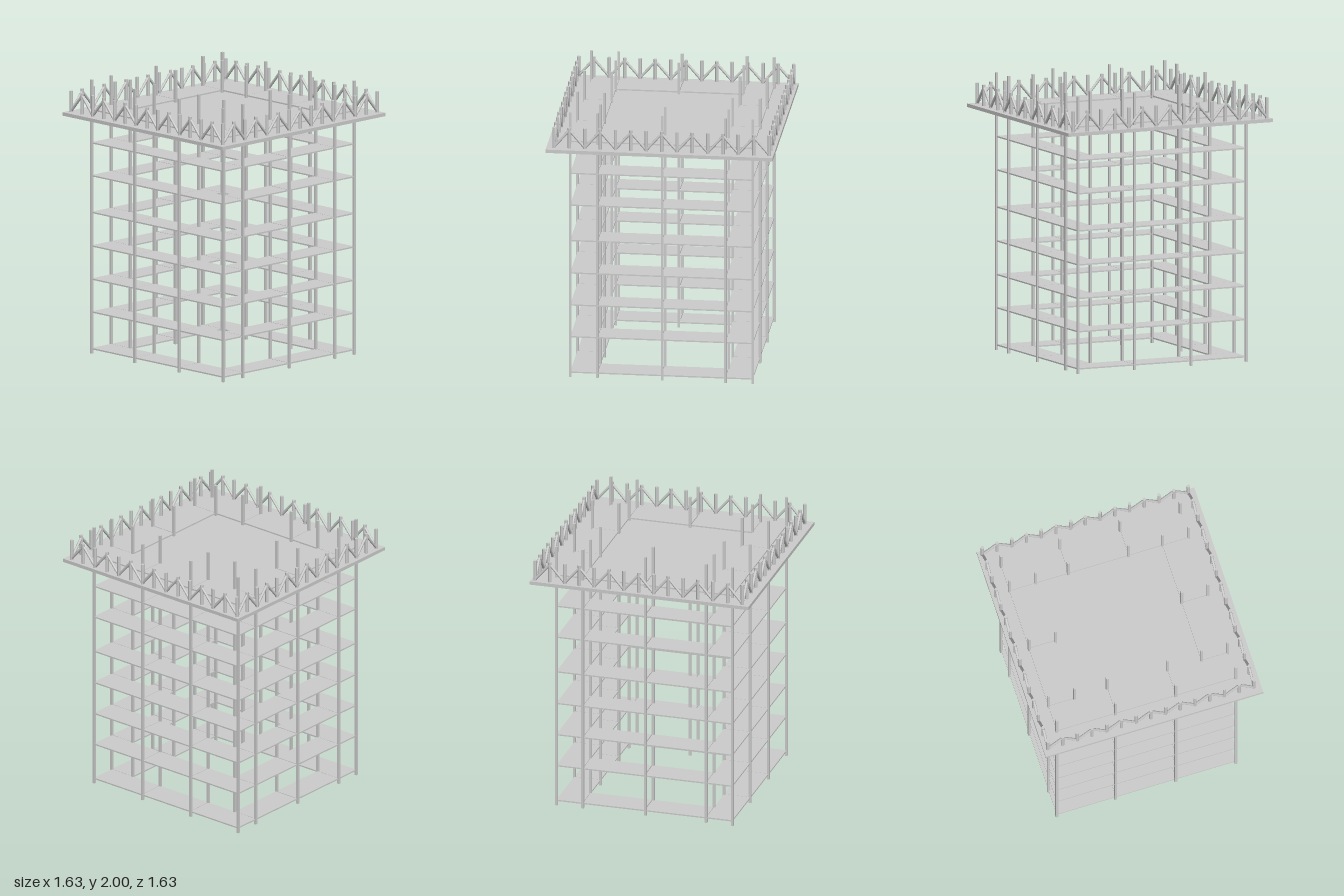
import * as THREE from 'three';

export function createModel() {
  const model = new THREE.Group();
  const mat = new THREE.MeshStandardMaterial({ color: 0xcccccc });

  const group = (name, parent = model) => {
    const g = new THREE.Group();
    g.name = name;
    parent.add(g);
    return g;
  };
  // box given by its limits on each axis
  const box = (parent, name, x0, x1, y0, y1, z0, z1) => {
    const m = new THREE.Mesh(new THREE.BoxGeometry(x1 - x0, y1 - y0, z1 - z0), mat);
    m.position.set((x0 + x1) / 2, (y0 + y1) / 2, (z0 + z1) / 2);
    m.name = name;
    parent.add(m);
  };
  // round pole between two points
  const pole = (parent, name, a, b, r) => {
    const dir = b.clone().sub(a);
    const m = new THREE.Mesh(new THREE.CylinderGeometry(r, r, dir.length(), 10), mat);
    m.position.copy(a).add(b).multiplyScalar(0.5);
    m.quaternion.setFromUnitVectors(new THREE.Vector3(0, 1, 0), dir.normalize());
    m.name = name;
    parent.add(m);
  };

  const OUT = 0.655, IN = 0.46;            // outer and inner column lines in x
  const BACK = -0.685, BACK_IN = -0.49;    // back strip in z
  const FRONT = 0.655, FRONT_IN = 0.46;    // front strip in z
  const MID = [-0.245, 0.205];             // intermediate side columns in z

  // Full-height square columns
  const columns = group('columns');
  const spots = [[-0.007, BACK], [-0.007, BACK_IN], [0.005, FRONT], [0.005, FRONT_IN]];
  for (const s of [-1, 1]) {
    for (const z of [BACK, ...MID, FRONT]) spots.push([s * OUT, z], [s * IN, z]);
    spots.push([s * IN, BACK_IN], [s * IN, FRONT_IN]);
  }
  const h = 0.009;
  for (const [x, z] of spots) box(columns, 'column', x - h, x + h, 0, 2, z - h, z + h);

  // Ring-shaped gallery floors made of panels around the open centre
  const t = 0.005, gap = 0.003;
  for (const y of [0.035, 0.303, 0.543, 0.785, 1.03, 1.298, 1.538, 1.78]) {
    const floor = group('galleryFloor');
    const zs = [BACK, ...MID, FRONT];
    for (let i = 0; i < 3; i++) {
      box(floor, 'leftPanel', IN, OUT, y - t, y + t, zs[i] + (i ? gap : 0), zs[i + 1]);
      box(floor, 'rightPanel', -OUT, -IN, y - t, y + t, zs[i] + (i ? gap : 0), zs[i + 1]);
    }
    for (const [x0, x1] of [[-IN + gap, -gap], [gap, IN - gap]]) {
      box(floor, 'backPanel', x0, x1, y - t, y + t, BACK, BACK_IN);
      box(floor, 'frontPanel', x0, x1, y - t, y + t, FRONT_IN, FRONT);
    }
  }

  // Overhanging roof deck
  box(model, 'roofDeck', -0.815, 0.815, 1.74, 1.765, -0.818, 0.81);

  // Railing: evenly spaced stakes, with braces rising to every second one
  const railing = group('railing');
  const N = 14, Y0 = 1.76, Y1 = 1.918;
  const corners = [[-0.76, -0.785], [0.785, -0.785], [0.785, 0.757], [-0.76, 0.757]];
  corners.forEach(([ax, az], k) => {
    const [bx, bz] = corners[(k + 1) % 4];
    const side = group('railingSide', railing);
    const at = (i, y) => new THREE.Vector3(
      THREE.MathUtils.lerp(ax, bx, i / N), y, THREE.MathUtils.lerp(az, bz, i / N));
    for (let i = 0; i < N; i++) {
      pole(side, 'stake', at(i, Y0), at(i, Y1), 0.0125);
      const up = i % 2 === 0;
      pole(side, 'brace', at(i, up ? 1.772 : 1.9), at(i + 1, up ? 1.9 : 1.772), 0.0095);
    }
  });

  return model;
}
